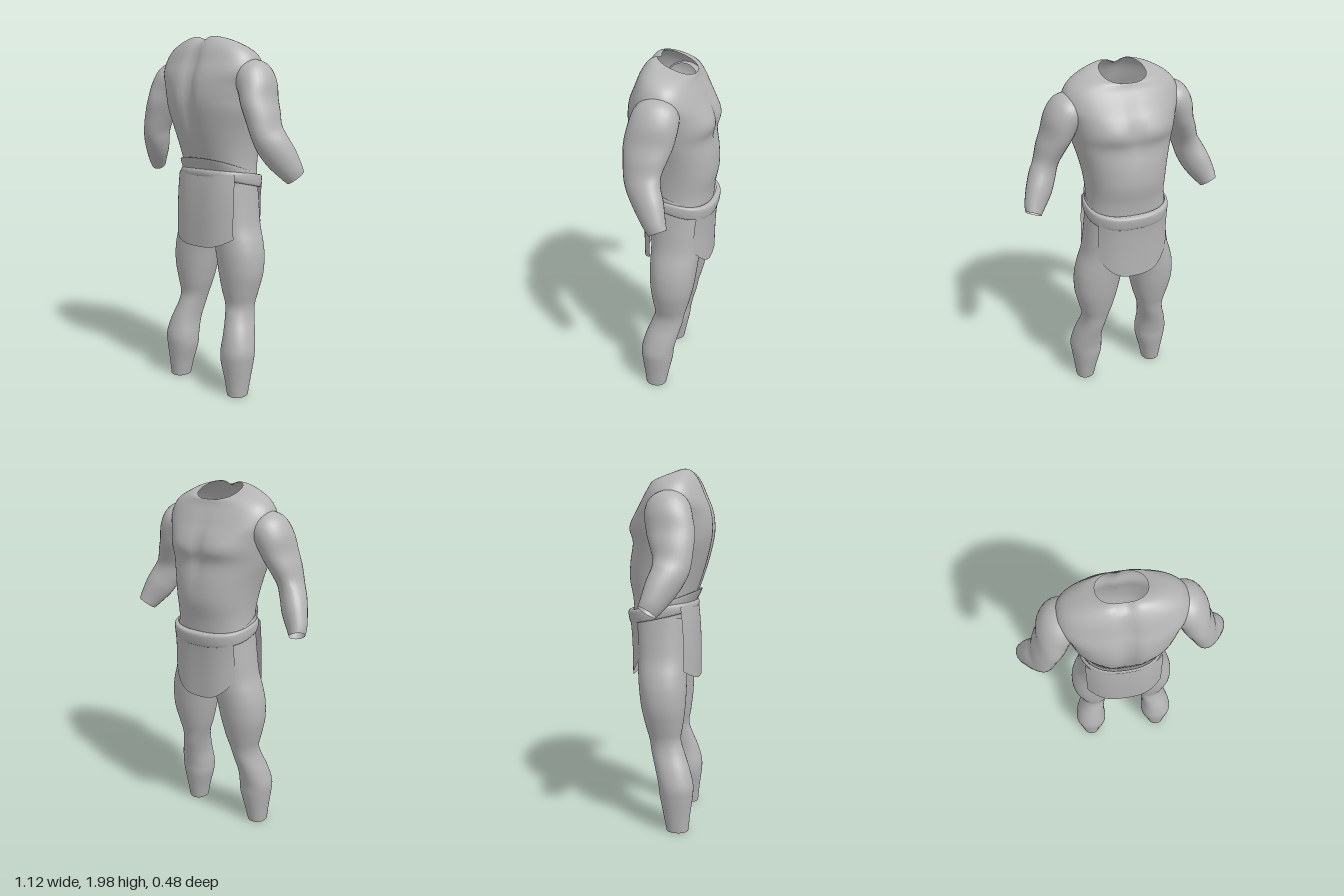
import * as THREE from 'three';

const grey = new THREE.MeshStandardMaterial({ color: 0xb4b4b4, side: THREE.DoubleSide });
grey.name = 'plain grey';

const spow = (v, e) => Math.sign(v) * Math.pow(Math.abs(v), e);
const bump = (v, centre, width) => Math.exp(-(((v - centre) / width) ** 2));

// Catmull-Rom blend of rows of numbers
function refine(rows, steps) {
  const out = [], last = rows.length - 1;
  for (let i = 0; i < last; i++) {
    const [a, b, c, d] = [i - 1, i, i + 1, i + 2].map(k => rows[Math.min(last, Math.max(0, k))]);
    for (let s = 0; s < steps; s++) {
      const t = s / steps;
      out.push(b.map((_, k) => b[k] + 0.5 * t * (c[k] - a[k] + t * (2 * a[k] - 5 * b[k] + 4 * c[k] - d[k]
        + t * (3 * (b[k] - c[k]) + d[k] - a[k])))));
    }
  }
  out.push(rows[last]);
  return out;
}

// Surface through a grid of points, optionally wrapped around
function skin(rows, cols, wrap, point) {
  const pos = [], index = [], n = wrap ? cols : cols + 1;
  for (let i = 0; i <= rows; i++) for (let j = 0; j < n; j++) pos.push(...point(i, j));
  for (let i = 0; i < rows; i++) for (let j = 0; j < cols; j++) {
    const k = (j + 1) % n, a = i * n + j, b = i * n + k;
    index.push(a, a + n, b, b, a + n, b + n);
  }
  const g = new THREE.BufferGeometry();
  g.setAttribute('position', new THREE.Float32BufferAttribute(pos, 3));
  g.setIndex(index);
  g.computeVertexNormals();
  return g;
}

// Rings listed from the bottom up: [y, xMin, xMax, zMin, zMax, tilt]
function loft(list, exponent = 2, tweak = p => p, seg = 48) {
  const rings = refine(list, 5);
  return skin(rings.length - 1, seg, true, (i, j) => {
    const [y, x0, x1, z0, z1, tilt] = rings[i], a = j / seg * Math.PI * 2;
    const x = (x0 + x1) / 2 + (x1 - x0) / 2 * spow(Math.cos(a), 2 / exponent);
    const z = (z0 + z1) / 2 + (z1 - z0) / 2 * spow(Math.sin(a), 2 / exponent);
    return tweak([x, y + tilt * z, z], Math.sin(a));
  });
}
const even = rows => rows.map(([y, w, z0, z1, tilt = 0]) => [y, -w, w, z0, z1, tilt]);

// Arm rings: [x, y, z, roll, pitch, radius across, radius in depth]
function armGeometry(list, seg = 28) {
  const rings = refine(list, 5);
  return skin(rings.length - 1, seg, true, (i, j) => {
    const [x, y, z, t, s, ru, rv] = rings[i], a = j / seg * Math.PI * 2;
    const u = Math.cos(a) * ru, v = Math.sin(a) * rv;
    return [x + u * Math.cos(t), y + u * Math.sin(t) + v * Math.sin(s), z + v * Math.cos(s)];
  });
}

// Hanging cloth panel, curved around the hips
function panel(sign, { half, top, bottom, lift, zTop, zLow, wrap }) {
  const rows = 10, cols = 24;
  return skin(rows, cols, false, (i, j) => {
    const u = (j / cols * 2 - 1) * sign, t = i / rows;
    const low = bottom + lift * Math.abs(u) ** 3;
    const z = zLow + (zTop - zLow) * t ** 3 - wrap * Math.abs(u) ** 3;
    return [-u * half * (1 - 0.02 * t), low + (top - low) * t, sign * z];
  });
}

export function createModel() {
  const model = new THREE.Group();
  model.name = 'headlessFigure';
  const add = (name, geometry, flip) => {
    const mesh = new THREE.Mesh(geometry, grey);
    mesh.name = name;
    if (flip) mesh.scale.x = -1;
    model.add(mesh);
  };

  // Torso with spine groove, shoulder blades and chest
  add('torso', loft(even([
    [1.0, 0.232, -0.17, 0.108], [1.1, 0.228, -0.18, 0.118], [1.2, 0.222, -0.2, 0.125],
    [1.3, 0.214, -0.21, 0.145], [1.4, 0.22, -0.228, 0.18], [1.5, 0.238, -0.224, 0.212],
    [1.6, 0.265, -0.208, 0.236], [1.67, 0.277, -0.217, 0.245], [1.74, 0.292, -0.2, 0.24],
    [1.8, 0.312, -0.168, 0.224], [1.86, 0.307, -0.135, 0.197], [1.91, 0.268, -0.117, 0.165, 0.15],
    [1.95, 0.188, -0.108, 0.125, 0.3], [1.962, 0.12, -0.105, 0.095, 0.4],
  ]), 2.3, ([x, y, z], side) => {
    const back = Math.max(0, side), front = Math.max(0, -side);
    z -= back * 0.032 * bump(x, 0, 0.04) * bump(y, 1.72, 0.3);
    z += front * 0.014 * bump(x, 0, 0.03) * bump(y, 1.68, 0.14);
    z -= front * 0.012 * bump(Math.abs(x), 0.13, 0.08) * bump(y, 1.69, 0.05);
    y -= back * 0.02 * bump(x, 0, 0.04) * bump(y, 2, 0.03);
    return [x, y, z];
  }, 72));

  // Arms and legs, mirrored
  const arm = armGeometry([
    [0.52, 1.265, -0.04, 0.45, -0.5, 0.045, 0.052], [0.505, 1.3, -0.02, 0.45, -0.5, 0.058, 0.062],
    [0.468, 1.37, 0.015, 0.45, -0.5, 0.073, 0.08], [0.435, 1.44, 0.05, 0.4, -0.45, 0.074, 0.09],
    [0.41, 1.5, 0.065, 0.35, -0.3, 0.067, 0.1], [0.38, 1.58, 0.06, 0.3, -0.1, 0.075, 0.113],
    [0.35, 1.65, 0.052, 0.32, 0, 0.08, 0.125], [0.322, 1.73, 0.037, 0.45, 0, 0.092, 0.125],
    [0.28, 1.785, 0.03, 0.8, 0, 0.095, 0.115], [0.22, 1.81, 0.03, 1.2, 0, 0.07, 0.08],
  ]);
  const leg = loft([
    [0.01, 0.172, 0.282, 0.01, 0.133, 0], [0.1, 0.153, 0.293, -0.008, 0.142, 0],
    [0.2, 0.127, 0.307, -0.028, 0.155, 0], [0.27, 0.124, 0.312, -0.036, 0.157, 0],
    [0.36, 0.128, 0.292, -0.056, 0.136, 0], [0.45, 0.116, 0.263, -0.08, 0.103, 0],
    [0.52, 0.098, 0.257, -0.093, 0.082, 0], [0.6, 0.072, 0.276, -0.115, 0.093, 0],
    [0.7, 0.048, 0.298, -0.138, 0.105, 0], [0.8, 0.028, 0.298, -0.152, 0.11, 0],
    [0.88, 0.01, 0.282, -0.16, 0.11, 0], [0.97, -0.005, 0.253, -0.168, 0.11, 0],
    [1.08, -0.01, 0.236, -0.175, 0.11, 0], [1.2, -0.01, 0.222, -0.175, 0.11, 0],
  ], 2.15);
  for (const [side, flip] of [['left', false], ['right', true]]) {
    add(side + 'Arm', arm, flip);
    add(side + 'Leg', leg, flip);
  }

  // Tilted belt with a flared cloth edge above it
  add('belt', loft(even([
    [1.205, 0.222, -0.21, 0.13, 0.22], [1.21, 0.231, -0.226, 0.15, 0.22], [1.235, 0.234, -0.235, 0.158, 0.18],
    [1.262, 0.231, -0.235, 0.152, 0.15], [1.268, 0.22, -0.21, 0.135, 0.15],
  ]), 2.4));
  add('clothEdge', loft(even([
    [1.235, 0.222, -0.215, 0.135, 0.2], [1.26, 0.22, -0.225, 0.155, 0.28],
    [1.285, 0.216, -0.235, 0.175, 0.36], [1.28, 0.206, -0.222, 0.162, 0.36], [1.25, 0.2, -0.2, 0.13, 0.3],
  ]), 2.4));

  // Loincloth panels on both sides
  add('panelFront', panel(1, { half: 0.215, top: 1.26, bottom: 0.855, lift: 0.055, zTop: 0.152, zLow: 0.17, wrap: 0.07 }));
  add('panelBack', panel(-1, { half: 0.205, top: 1.2, bottom: 0.855, lift: 0.12, zTop: 0.226, zLow: 0.21, wrap: 0.065 }));
  return model;
}
